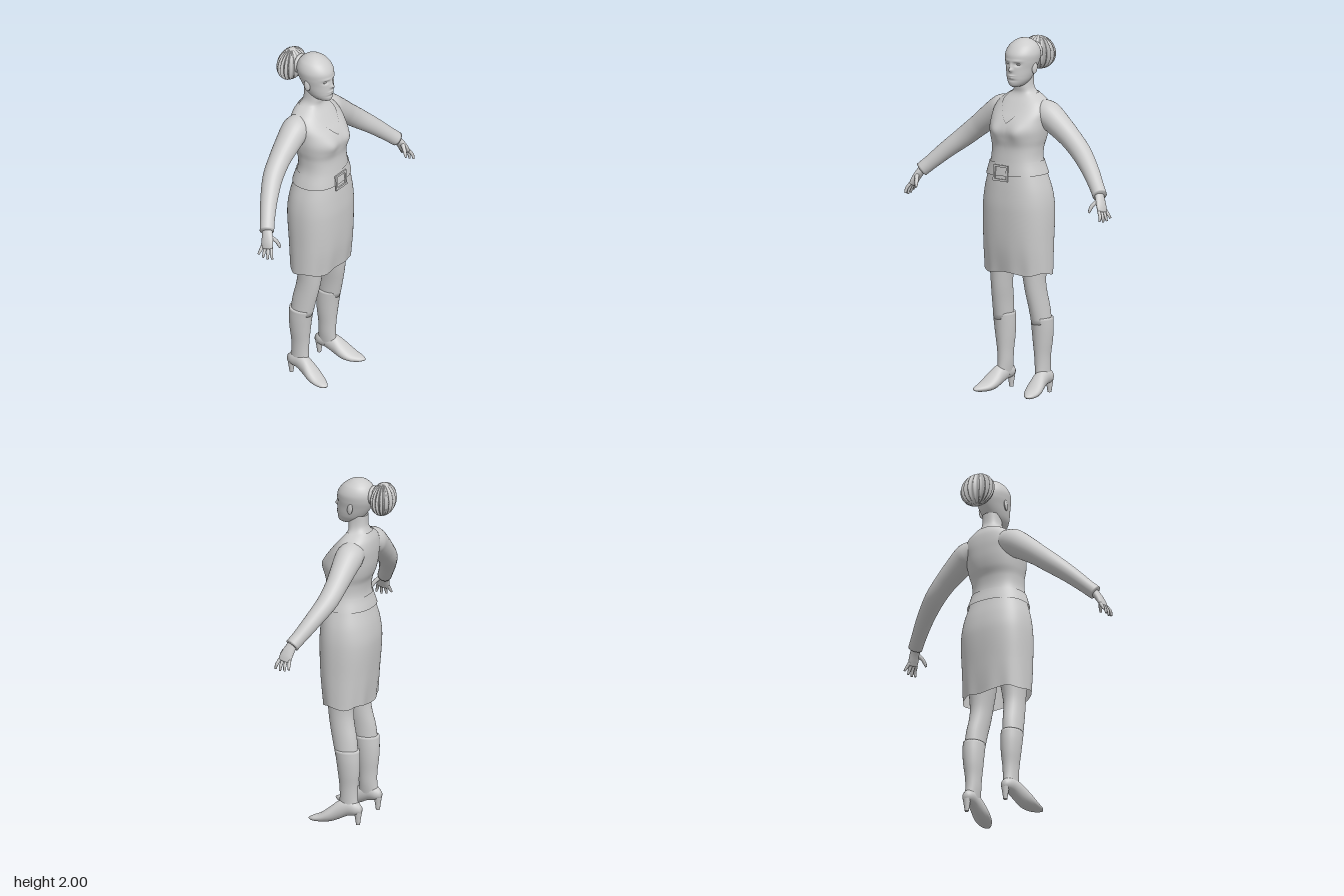
import * as THREE from 'three';

const clay = new THREE.MeshStandardMaterial({ color: 0xcccccc, side: THREE.DoubleSide });
clay.name = 'light grey';

function part(name, geometry, parent) {
  const m = new THREE.Mesh(geometry, clay);
  m.name = name;
  parent.add(m);
  return m;
}

// Joins a stack of closed rings into a smooth skin, optionally closing the ends
function skin(rings, caps = true) {
  const n = rings[0].length, pos = [], idx = [];
  rings.forEach(r => r.forEach(p => pos.push(p.x, p.y, p.z)));
  for (let j = 0; j < rings.length - 1; j++) for (let i = 0; i < n; i++) {
    const a = j * n + i, b = j * n + (i + 1) % n;
    idx.push(a, a + n, b, b, a + n, b + n);
  }
  if (caps) [0, rings.length - 1].forEach((j, end) => {
    const c = rings[j].reduce((s, p) => s.add(p), new THREE.Vector3()).divideScalar(n);
    const k = pos.length / 3;
    pos.push(c.x, c.y, c.z);
    for (let i = 0; i < n; i++) {
      const a = j * n + i, b = j * n + (i + 1) % n;
      if (end) idx.push(a, k, b); else idx.push(a, b, k);
    }
  });
  const g = new THREE.BufferGeometry();
  g.setAttribute('position', new THREE.Float32BufferAttribute(pos, 3));
  g.setIndex(idx);
  g.computeVertexNormals();
  return g;
}

// Smooth interpolation of rows whose first entry is the position along the axis
function profile(rows) {
  const slope = (i, k) => {
    const a = rows[Math.max(0, i - 1)], b = rows[Math.min(rows.length - 1, i + 1)];
    return (b[k] - a[k]) / (b[0] - a[0]);
  };
  return t => {
    let i = 0;
    while (i < rows.length - 2 && t > rows[i + 1][0]) i++;
    const p = rows[i], q = rows[i + 1], h = q[0] - p[0];
    const s = Math.min(1, Math.max(0, (t - p[0]) / h)), s2 = s * s, s3 = s2 * s;
    return p.map((v, k) => (2 * s3 - 3 * s2 + 1) * v + (3 * s2 - 2 * s3) * q[k]
      + (s3 - 2 * s2 + s) * h * slope(i, k) + (s3 - s2) * h * slope(i + 1, k));
  };
}

const spow = (v, p) => Math.sign(v) * Math.abs(v) ** p;
const angles = n => Array.from({ length: n }, (_, i) => i / n * Math.PI * 2);

// Loft of [t, centre, halfWidth, high, low] rows; place(u, v, t) makes each point
function loft(rows, steps, n, place) {
  const f = profile(rows), t0 = rows[0][0], t1 = rows.at(-1)[0], rings = [];
  for (let j = 0; j <= steps; j++) {
    const t = t0 + (t1 - t0) * j / steps, [, c, w, hi, lo] = f(t);
    rings.push(angles(n).map(a =>
      place(c + w * Math.cos(a), (hi + lo) / 2 + (hi - lo) / 2 * Math.sin(a), t)));
  }
  return skin(rings);
}
const upright = (u, v, t) => new THREE.Vector3(u, t, v);
const lengthwise = (u, v, t) => new THREE.Vector3(u, v, -t);

// Limb along [x, y, z, thickness, breadth] points
function limb(pts, steps, n) {
  const curve = new THREE.CatmullRomCurve3(pts.map(p => new THREE.Vector3(p[0], p[1], p[2])));
  const rings = [], Z = new THREE.Vector3(0, 0, 1);
  for (let j = 0; j <= steps; j++) {
    const t = j / steps, s = t * (pts.length - 1), i = Math.min(pts.length - 2, Math.floor(s));
    const mix = k => THREE.MathUtils.lerp(pts[i][k] ?? pts[i][3], pts[i + 1][k] ?? pts[i + 1][3], s - i);
    const c = curve.getPoint(t), T = curve.getTangent(t);
    const N = new THREE.Vector3().crossVectors(T, Z).normalize();
    const B = new THREE.Vector3().crossVectors(N, T);
    const r = mix(3), r2 = mix(4);
    rings.push(angles(n).map(a => c.clone().addScaledVector(N, r * Math.cos(a)).addScaledVector(B, r2 * Math.sin(a))));
  }
  return skin(rings);
}

// Body outline: height, half width, front z, back z
const bodyAt = profile([
  [.69, .205, .17, -.08], [.85, .207, .19, -.095], [1.05, .208, .198, -.11], [1.15, .197, .193, -.10],
  [1.25, .17, .183, -.075], [1.33, .146, .172, -.055], [1.40, .145, .166, -.06], [1.45, .155, .172, -.08],
  [1.50, .162, .176, -.092], [1.55, .164, .156, -.097], [1.60, .165, .12, -.098], [1.65, .14, .083, -.092],
  [1.68, .10, .06, -.08], [1.70, .07, .052, -.07], [1.73, .056, .055, -.06], [1.80, .052, .055, -.06]]);

function bodyPoint(a, y, off) {
  const [, w, f, b] = bodyAt(y);
  const x = (w + off) * spow(Math.cos(a), .85);
  let z = (f + b) / 2 + ((f - b) / 2 + off) * spow(Math.sin(a), .85);
  // Bust
  if (Math.sin(a) > 0) z += .014 * Math.exp(-(((Math.abs(x) - .075) / .04) ** 2) - ((y - 1.49) / .05) ** 2);
  return new THREE.Vector3(x, y, z);
}

// Patch of the body between two edges that may vary around it
function garment(low, high, off, steps, tweak = p => p) {
  const rings = [];
  for (let j = 0; j <= steps; j++) rings.push(angles(96).map(a => {
    const t = j / steps, y = THREE.MathUtils.lerp(low(a), high(a), t);
    return tweak(bodyPoint(a, y, off), a, t);
  }));
  return skin(rings, false);
}

function makeHead(parent) {
  const head = new THREE.Group();
  head.name = 'head';
  parent.add(head);
  const bump = (x, y, cx, cy, sx, sy) => Math.exp(-(((x - cx) / sx) ** 2) - ((y - cy) / sy) ** 2);
  const place = (u, v, t) => {
    const x = Math.abs(u);
    if (v > .04) v += .010 * bump(x, t, 0, 1.85, .009, .022) + .014 * bump(x, t, 0, 1.834, .012, .010)
      - .010 * bump(x, t, .034, 1.866, .017, .011) + .004 * bump(x, t, .03, 1.885, .03, .008)
      + .007 * bump(x, t, 0, 1.801, .02, .005) + .007 * bump(x, t, 0, 1.789, .017, .005)
      - .004 * bump(x, t, 0, 1.775, .03, .006);
    return new THREE.Vector3(u, t, v);
  };
  part('face and skull', loft([
    [1.735, 0, .02, .10, .03], [1.745, 0, .038, .113, 0], [1.77, 0, .058, .119, -.03],
    [1.80, 0, .07, .12, -.055], [1.84, 0, .08, .119, -.08], [1.88, 0, .09, .119, -.097],
    [1.92, 0, .093, .114, -.10], [1.96, 0, .077, .085, -.083], [1.985, 0, .049, .05, -.055],
    [1.996, 0, .026, .025, -.03], [2, 0, .006, .006, -.008]], 80, 96, place), head);
  for (const s of [-1, 1]) {
    const eye = part('eye', new THREE.SphereGeometry(1, 16, 10), head);
    eye.scale.set(.014, .006, .008);
    eye.position.set(s * .034, 1.866, .098);
    const ear = part('ear', new THREE.SphereGeometry(1, 16, 12), head);
    ear.scale.set(.009, .033, .018);
    ear.position.set(s * .084, 1.84, .012);
    ear.rotation.set(-.15, s * -.3, 0);
  }
  // Ribbed bun of hair and its tie
  const bun = new THREE.SphereGeometry(1, 144, 24), p = bun.attributes.position;
  for (let i = 0; i < p.count; i++) {
    const a = Math.atan2(p.getZ(i), p.getX(i));
    const k = .86 + .16 * Math.abs(Math.cos(9 * a)) ** 3;
    p.setXYZ(i, p.getX(i) * k, p.getY(i), p.getZ(i) * k);
  }
  bun.scale(.105, .094, .066);
  bun.computeVertexNormals();
  part('hair bun', bun, head).position.set(-.008, 1.895, -.15);
  part('hair tie', new THREE.TorusGeometry(.045, .012, 10, 32), head).position.set(0, 1.91, -.094);
}

function makeArm() {
  const arm = new THREE.Group();
  arm.name = 'arm';
  part('sleeve', limb([[.07, 1.60, -.015, .065], [.155, 1.58, -.016, .08], [.24, 1.525, -.014, .07],
    [.32, 1.465, -.01, .061], [.40, 1.40, .004, .057], [.50, 1.315, .048, .048],
    [.58, 1.238, .094, .041], [.622, 1.197, .121, .04]], 40, 28), arm);
  part('palm', limb([[.61, 1.21, .115, .024, .028], [.635, 1.17, .133, .02, .034],
    [.65, 1.14, .143, .017, .038], [.661, 1.112, .15, .012, .037]], 12, 18), arm);
  for (let i = 0; i < 4; i++) {
    const o = (i - 1.5) * .02, reach = [.042, .054, .058, .05][i];
    part('finger', limb([[.658, 1.122, .148 + o, .0095], [.675, 1.118 - reach * .5, .152 + o * 1.25, .009],
      [.688 - i * .004, 1.118 - reach, .153 + o * 1.45, .006]], 8, 10), arm);
  }
  part('thumb', limb([[.632, 1.175, .15, .013], [.613, 1.15, .178, .011],
    [.606, 1.128, .19, .0095], [.603, 1.11, .197, .006]], 9, 10), arm);
  return arm;
}

function makeLeg() {
  const leg = new THREE.Group();
  leg.name = 'leg';
  part('bare leg', loft([[.40, .132, .052, .075, -.058], [.50, .126, .052, .098, -.048],
    [.58, .119, .054, .115, -.03], [.65, .114, .058, .125, -.022],
    [.80, .105, .075, .14, -.04], [.98, .10, .09, .14, -.06]], 20, 28, upright), leg);
  part('boot shaft', loft([[.08, .135, .034, .055, -.066], [.15, .13, .039, .05, -.056],
    [.22, .129, .043, .052, -.056], [.30, .13, .052, .06, -.065], [.37, .131, .057, .069, -.068],
    [.436, .131, .058, .08, -.065]], 24, 28, upright), leg);
  part('boot foot', loft([[-.216, .182, .008, .022, .012], [-.195, .177, .028, .033, .004],
    [-.15, .164, .047, .052, .001], [-.10, .154, .052, .09, .005], [-.05, .145, .044, .13, .022],
    [0, .138, .039, .145, .046], [.05, .134, .035, .135, .056], [.08, .133, .016, .108, .068]], 36, 24, lengthwise), leg);
  part('heel', new THREE.CylinderGeometry(.022, .011, .075, 14), leg).position.set(.133, .0375, -.06);
  return leg;
}

export function createModel() {
  const model = new THREE.Group();
  model.name = 'woman';

  part('neck and chest', garment(() => 1.42, () => 1.79, -.003, 40), model);
  // V neckline in front, round behind
  const neckline = a => 1.695 - (Math.sin(a) > 0 ? .155 * Math.max(0, 1 - Math.abs(Math.cos(a)) / .75) : 0);
  part('blouse', garment(() => 1.26, neckline, .005, 44), model);
  // Skirt with folds growing towards a wavy hem
  part('skirt', garment(a => .692 + .008 * Math.sin(5 * a), () => 1.31, .002, 40, (p, a, t) => {
    const k = 1 + .03 * Math.sin(10 * a) * Math.max(0, 1 - t * 2.2) ** 2;
    p.z = .045 + (p.z - .045) * k;
    return p;
  }), model);
  const tilt = a => .008 * Math.cos(a);
  part('belt', garment(a => 1.245 + tilt(a), a => 1.32 + tilt(a), .01, 6), model);

  // Belt buckle frame
  const frame = new THREE.Shape([[-.05, -.045], [.05, -.045], [.05, .045], [-.05, .045]].map(p => new THREE.Vector2(...p)));
  frame.holes.push(new THREE.Path([[-.038, -.033], [-.038, .033], [.038, .033], [.038, -.033]].map(p => new THREE.Vector2(...p))));
  const buckle = part('buckle', new THREE.ExtrudeGeometry(frame, { depth: .009, bevelEnabled: false }), model);
  buckle.position.set(-.015, 1.26, .189);
  buckle.rotation.x = -.08;

  makeHead(model);
  for (const make of [makeArm, makeLeg]) for (const s of [1, -1]) {
    const g = make();
    g.scale.x = s;
    g.name = (s > 0 ? 'left ' : 'right ') + g.name;
    model.add(g);
  }
  return model;
}
